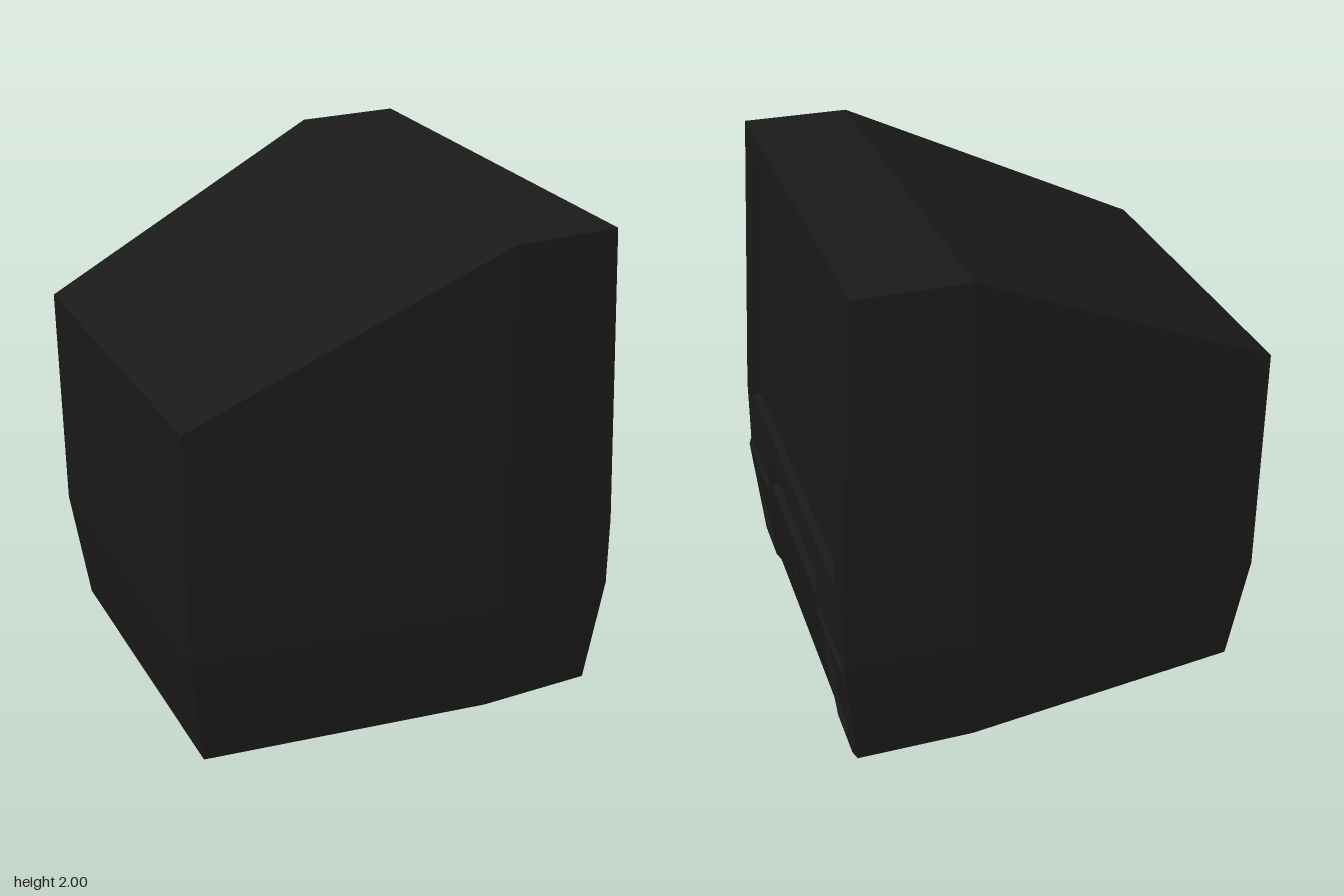
import * as THREE from 'three';
import { toCreasedNormals } from 'three/addons/utils/BufferGeometryUtils.js';

const T = 0.065; // thickness of the front panels
const material = new THREE.MeshStandardMaterial({ color: 0x1a1a1a });

// x of the front face at height y
const PROFILE = [[0, 0.82], [0.48, 0.863], [0.77, 0.86], [2, 0.78]];
function frontX(y) {
  let i = 0;
  while (i < PROFILE.length - 2 && y > PROFILE[i + 1][0]) i++;
  const [y0, x0] = PROFILE[i], [y1, x1] = PROFILE[i + 1];
  return x0 + (x1 - x0) * (y - y0) / (y1 - y0);
}

// Stand a flat (u, y, outward) geometry onto the front face
function ontoFront(geo, offset = () => 0) {
  const p = geo.attributes.position;
  for (let i = 0; i < p.count; i++) {
    const u = p.getX(i), y = p.getY(i), w = p.getZ(i);
    p.setXYZ(i, frontX(y) + w + offset(y), y, -u);
  }
  return toCreasedNormals(geo, 0.5);
}

// Polygon with optional rounded corners
function polygon(points, r = 0) {
  const s = new THREE.Shape();
  const v = points.map(([x, y]) => new THREE.Vector2(x, y));
  v.forEach((p, i) => {
    const prev = v[(i + v.length - 1) % v.length], next = v[(i + 1) % v.length];
    const a = p.clone().add(prev.clone().sub(p).setLength(r));
    const b = p.clone().add(next.clone().sub(p).setLength(r));
    if (i === 0) s.moveTo(a.x, a.y); else s.lineTo(a.x, a.y);
    if (r) s.quadraticCurveTo(p.x, p.y, b.x, b.y);
  });
  s.closePath();
  return s;
}
const trapezoid = (y0, half0, y1, half1) =>
  polygon([[-half0, y0], [half0, y0], [half1, y1], [-half1, y1]]);

export function createModel() {
  const group = new THREE.Group();
  const add = (name, geo) => {
    const mesh = new THREE.Mesh(geo, material);
    mesh.name = name;
    group.add(mesh);
    return mesh;
  };

  // Cabinet shell: sections at the back, the shoulder and behind the front panels
  const section = (xAt, w, top) => {
    const half = [[w - 0.05, 0], [w, 0.48], [w, 0.77], [w, top]];
    const ring = [...half.map(([z, y]) => [-z, y]), ...half.reverse()];
    return ring.map(([z, y]) => [xAt(y), y, z]);
  };
  const rings = [
    section(y => (y === 0 ? -0.82 : -0.88), 0.735, 1.44),
    section(() => 0.35, 0.89, 2),
    section(y => frontX(y) - T, 0.89, 2),
  ];
  const pos = [];
  const quad = (a, b, c, d) => pos.push(...a, ...b, ...c, ...a, ...c, ...d);
  const n = rings[0].length;
  for (let s = 0; s < 2; s++) {
    for (let i = 0; i < n; i++) {
      const j = (i + 1) % n;
      quad(rings[s][i], rings[s][j], rings[s + 1][j], rings[s + 1][i]);
    }
  }
  const back = rings[0];
  for (let k = 0; k < n / 2 - 1; k++) quad(back[n - 1 - k], back[n - 2 - k], back[k + 1], back[k]);
  const shell = new THREE.BufferGeometry();
  shell.setAttribute('position', new THREE.Float32BufferAttribute(pos, 3));
  shell.computeVertexNormals();
  add('cabinet', shell);

  // Openings in the front
  const screen = trapezoid(0.778, 0.75, 1.86, 0.75);
  const slot = trapezoid(0.5, 0.435, 0.62, 0.435);
  const controls = trapezoid(0.18, 0.525, 0.355, 0.48);
  const speaker = side => polygon(
    [[0.815, 0.425], [0.815, 0.2], [0.75, 0.065], [0.61, 0.065], [0.535, 0.425]]
      .map(([u, y]) => [u * side, y]), 0.06);
  const speakers = [-1, 1].map(speaker);

  // Front panels, each pierced by its openings
  const panel = (name, outline, holes) => {
    outline.holes.push(...holes);
    const geo = new THREE.ExtrudeGeometry(outline, { depth: T, bevelEnabled: false, curveSegments: 8 });
    add(name, ontoFront(geo.translate(0, 0, -T)));
  };
  panel('screenFrame', trapezoid(0.77, 0.89, 2, 0.89), [screen]);
  panel('slotPanel', trapezoid(0.48, 0.89, 0.77, 0.89), [slot]);
  panel('lowerPanel', trapezoid(0, 0.84, 0.48, 0.89), [controls, ...speakers]);

  // Floors of the openings
  const floor = (name, shape, depth) =>
    add(name, ontoFront(new THREE.ShapeGeometry(shape, 8), y => -depth(y)));
  floor('screen', screen, () => 0.035);
  floor('cassetteDoor', slot, () => 0.06);
  floor('controlPanel', controls, () => 0.01);
  speakers.forEach(s => floor('speaker', s, y => 0.005 + 0.055 * (y - 0.065) / 0.36));

  // Raised bevelled surrounds of the speakers
  for (const side of [-1, 1]) {
    const outline = polygon([[0.575, 0], [0.84, 0], [0.89, 0.48], [0.455, 0.48]]
      .map(([u, y]) => [u * side, y]));
    outline.holes.push(speaker(side));
    const geo = new THREE.ExtrudeGeometry(outline, {
      depth: 0.001, bevelThickness: 0.014, bevelSize: 0.02, bevelOffset: -0.02,
      bevelSegments: 1, curveSegments: 8,
    });
    add('speakerSurround', ontoFront(geo));
  }

  // Row of small buttons and one large one
  const button = (name, z, r) => {
    const mesh = add(name, new THREE.CylinderGeometry(r, r, 0.03, 20));
    mesh.rotation.z = -Math.PI / 2 - 0.09;
    mesh.position.set(frontX(0.255) - 0.012, 0.255, z);
  };
  for (let i = 0; i < 8; i++) button('button', 0.236 - i * 0.0705, 0.026);
  button('powerButton', -0.39, 0.04);

  return group;
}
